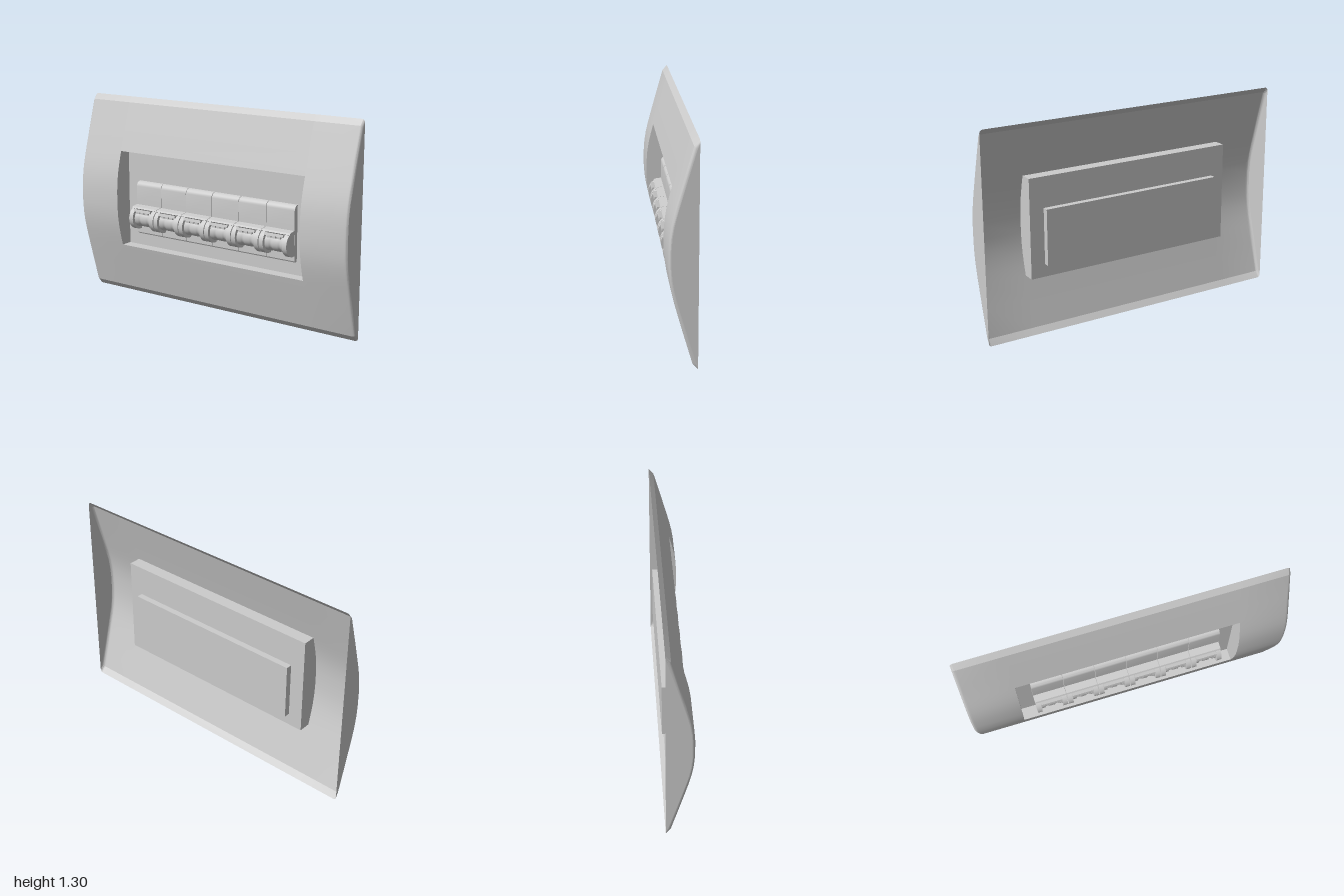
import * as THREE from 'three';
import { toCreasedNormals } from 'three/addons/utils/BufferGeometryUtils.js';

const MID = 0.65, FLOOR = -0.04, BACK = -0.08, HOLE_X = 0.69;
// Half of the bowed cover section: [height above the middle, z]
const HALF = [[0.05, 0.082], [0.12, 0.077], [0.185, 0.067], [0.25, 0.052], [0.31, 0.036],
  [0.44, 0], [0.615, -0.05], [0.65, BACK]];
const PROFILE = [...HALF.slice().reverse().map(([h, z]) => [MID - h, z]),
  ...HALF.map(([h, z]) => [MID + h, z])];
const HOLE_ROWS = [3, PROFILE.length - 4];

const material = new THREE.MeshStandardMaterial({ color: 0xcccccc, side: THREE.DoubleSide });

function add(parent, name, geometry, x = 0, y = 0, z = 0) {
  const mesh = new THREE.Mesh(geometry, material);
  mesh.name = name;
  mesh.position.set(x, y, z);
  parent.add(mesh);
  return mesh;
}

// Flat outline given as [z, y] points, facing sideways
function sideShape(points) {
  return new THREE.Shape(points.map(([z, y]) => new THREE.Vector2(z, y)));
}

function extrudeX(points, width) {
  const g = new THREE.ExtrudeGeometry(sideShape(points), { depth: width, bevelEnabled: false, curveSegments: 8 });
  g.translate(0, 0, -width / 2);
  g.rotateY(-Math.PI / 2);
  return toCreasedNormals(g, 0.5);
}

// Cover section pulled in by a small amount, for the rounded ends
function section(inset) {
  return PROFILE.map(([y, z]) => [
    MID + (y - MID) * (1 - inset / 0.65),
    Math.max(BACK, z - inset * 0.8),
  ]);
}

// Bowed sheet with rounded ends and a rectangular opening
function coverGeometry() {
  const R = 0.02, right = [[HOLE_X, 0]];
  for (let i = 0; i <= 5; i++) {
    const a = (i / 5) * Math.PI / 2;
    right.push([1 - R + R * Math.sin(a), R * (1 - Math.cos(a))]);
  }
  const columns = [...right.slice().reverse().map(([x, r]) => [-x, r]), ...right];
  const pos = [], index = [], n = PROFILE.length;
  columns.forEach(([x, r]) => section(r).forEach(([y, z]) => pos.push(x, y, z)));
  for (let c = 0; c < columns.length - 1; c++) {
    for (let r = 0; r < n - 1; r++) {
      const open = c === columns.length / 2 - 1 && r >= HOLE_ROWS[0] && r < HOLE_ROWS[1];
      if (open) continue;
      const a = c * n + r, b = a + n;
      index.push(a, b, b + 1, a, b + 1, a + 1);
    }
  }
  const g = new THREE.BufferGeometry();
  g.setAttribute('position', new THREE.Float32BufferAttribute(pos, 3));
  g.setIndex(index);
  return toCreasedNormals(g, 0.36);
}

function buildCover(root) {
  const cover = new THREE.Group();
  cover.name = 'coverPlate';
  root.add(cover);
  add(cover, 'bowedFront', coverGeometry());

  const end = section(0.02).map(([y, z]) => [z, y]);
  const opening = PROFILE.slice(HOLE_ROWS[0], HOLE_ROWS[1] + 1);
  const y0 = opening[0][0], y1 = opening[opening.length - 1][0], rim = opening[0][1];
  const wall = [[FLOOR, y0], ...opening.map(([y, z]) => [z, y]), [FLOOR, y1]];
  for (const s of [-1, 1]) {
    // End caps and the lens-shaped recess walls
    const turn = -s * Math.PI / 2;
    const mirror = (pts) => pts.map(([z, y]) => [s * z, y]);
    const face = (pts) => new THREE.ShapeGeometry(sideShape(mirror(pts)));
    add(cover, 'endCap', face(end), s).rotation.y = -Math.PI / 2 * s;
    add(cover, 'recessSideWall', face(wall), s * HOLE_X).rotation.y = turn;
    // Upper and lower recess walls
    const g = new THREE.PlaneGeometry(2 * HOLE_X, rim - FLOOR).rotateX(s * Math.PI / 2);
    add(cover, 'recessLedge', g, 0, s > 0 ? y1 : y0, (rim + FLOOR) / 2);
  }
  add(cover, 'recessFloor', new THREE.PlaneGeometry(2 * HOLE_X, y1 - y0), 0, (y0 + y1) / 2, FLOOR);
  add(cover, 'rearHousing', new THREE.BoxGeometry(1.2, 0.35, 0.038), 0, 0.595, BACK + 0.019);
}

// One breaker: body with rounded shoulder and hood, cheeks, grooved drum and handle
function buildBreaker(root, x) {
  const unit = new THREE.Group();
  unit.name = 'breaker';
  unit.position.x = x;
  root.add(unit);

  const body = [[-0.045, 0.42], [-0.02, 0.422], [-0.015, 0.43], [-0.015, 0.592], [0.035, 0.592],
    [0.042, 0.6], [0.036, 0.61], [-0.008, 0.616], [-0.008, 0.735]];
  for (let i = 1; i <= 6; i++) {
    const a = (i / 6) * Math.PI / 2;
    body.push([-0.045 + 0.037 * Math.cos(a), 0.735 + 0.033 * Math.sin(a)]);
  }
  add(unit, 'body', extrudeX(body, 0.197));

  const axisY = 0.535;
  for (const s of [-1, 1]) {
    const cheek = new THREE.CylinderGeometry(0.075, 0.075, 0.03, 40).rotateZ(Math.PI / 2);
    add(unit, 'cheek', cheek, s * 0.082, axisY, 0).scale.z = 1.02;
  }
  const drum = [[0.057, -0.068], [0.057, -0.045], [0.049, -0.038], [0.049, -0.025], [0.055, -0.018]];
  const full = [...drum, ...drum.slice().reverse().map(([r, h]) => [r, -h])];
  const lathe = new THREE.LatheGeometry(full.map(([r, h]) => new THREE.Vector2(r, h)), 40);
  add(unit, 'drum', lathe.rotateZ(Math.PI / 2), 0, axisY, 0);

  const handle = add(unit, 'handle', new THREE.BoxGeometry(0.13, 0.016, 0.036), 0, 0.588, 0.046);
  handle.rotation.x = -0.25;
  for (let i = -1; i <= 1; i++) {
    add(unit, 'handleRib', new THREE.BoxGeometry(0.026, 0.012, 0.014), i * 0.034, 0.578, 0.058);
  }
}

export function createModel() {
  const root = new THREE.Group();
  root.name = 'breakerPanel';
  buildCover(root);
  for (let i = 0; i < 6; i++) buildBreaker(root, -0.5 + 0.2 * i);
  return root;
}
